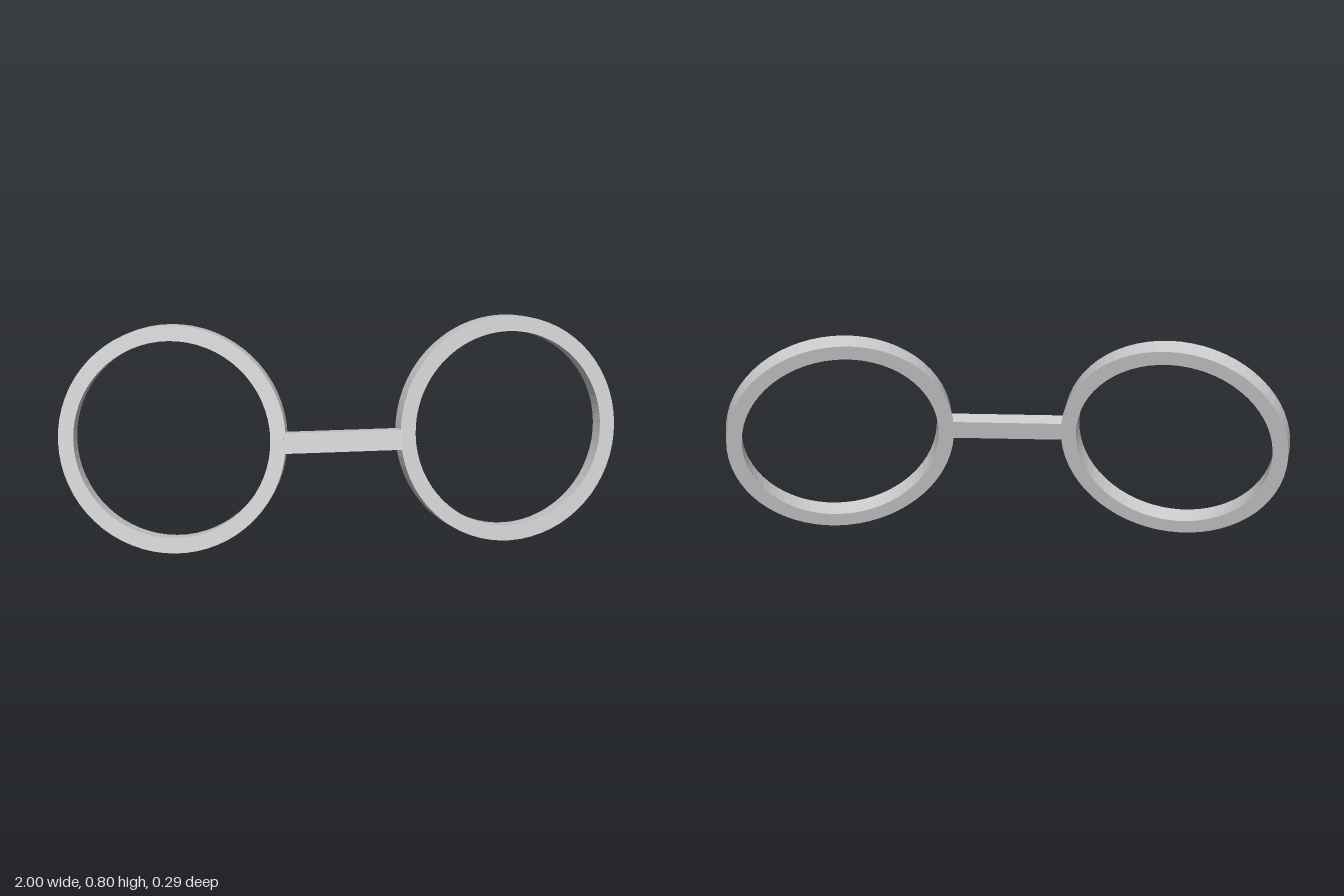
import * as THREE from 'three';

const material = new THREE.MeshStandardMaterial({ color: 0xcccccc, flatShading: true });
const PITCH = -0.227, YAW = 0.172;
const OUTER = 0.405, INNER = 0.35, DEPTH = 0.066;

// Flat-faced ring, centred on its own middle
function ringGeometry() {
  const shape = new THREE.Shape().absarc(0, 0, OUTER, 0, Math.PI * 2);
  shape.holes.push(new THREE.Path().absarc(0, 0, INNER, 0, Math.PI * 2, true));
  const geometry = new THREE.ExtrudeGeometry(shape, {
    depth: DEPTH, bevelEnabled: false, curveSegments: 32,
  });
  return geometry.translate(0, 0, -DEPTH / 2);
}

export function createModel() {
  const model = new THREE.Group();
  model.name = 'glassesFrame';

  // Lens rims, leaning back and wrapped around the face
  const geometry = ringGeometry();
  for (const side of [1, -1]) {
    const rim = new THREE.Mesh(geometry, material);
    rim.name = side > 0 ? 'leftRim' : 'rightRim';
    rim.position.set(side * 0.596, 0.4025, 0);
    rim.rotation.set(PITCH, side * YAW, 0);
    model.add(rim);
  }

  // Bridge, its ends sunk into the rims
  const bridge = new THREE.Mesh(new THREE.BoxGeometry(0.42, 0.072, 0.05), material);
  bridge.name = 'bridge';
  bridge.position.set(0, 0.404, 0.08);
  bridge.rotation.x = PITCH;
  model.add(bridge);

  return model;
}
